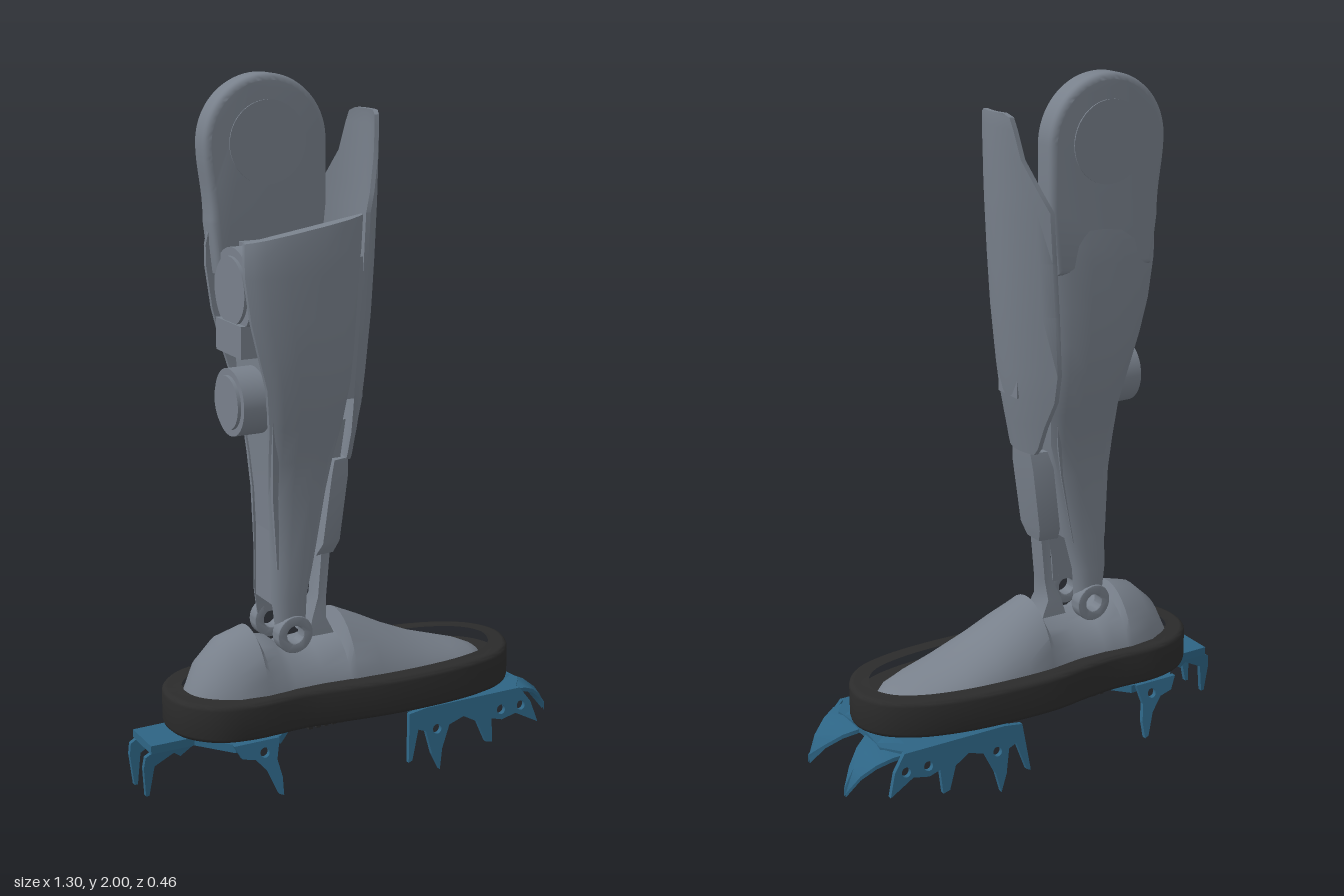
import * as THREE from 'three';
import { toCreasedNormals } from 'three/addons/utils/BufferGeometryUtils.js';

const flat = (name, color) => {
  const m = new THREE.MeshStandardMaterial({ color });
  m.name = name;
  return m;
};

// Skin a list of equal-length rings; point i of a ring lies opposite point n-1-i, so the end caps zip shut.
function loft(rings, crease = 0.6) {
  const n = rings[0].length, pos = rings.flat(2), idx = [];
  for (let r = 0; r < rings.length - 1; r++)
    for (let i = 0; i < n; i++) {
      const a = r * n + i, b = r * n + (i + 1) % n;
      idx.push(a, b, b + n, a, b + n, a + n);
    }
  const last = (rings.length - 1) * n;
  for (let i = 0; i < n / 2 - 1; i++) {
    const j = n - 1 - i;
    idx.push(i, j - 1, i + 1, i, j, j - 1);
    idx.push(last + i, last + i + 1, last + j - 1, last + i, last + j - 1, last + j);
  }
  // Turn the faces outward if the enclosed volume is negative
  const P = k => new THREE.Vector3(...pos.slice(k * 3, k * 3 + 3));
  let vol = 0;
  for (let i = 0; i < idx.length; i += 3) vol += P(idx[i]).dot(P(idx[i + 1]).cross(P(idx[i + 2])));
  if (vol < 0) idx.reverse();
  const g = new THREE.BufferGeometry();
  g.setAttribute('position', new THREE.Float32BufferAttribute(pos, 3));
  g.setIndex(idx);
  return toCreasedNormals(g, crease);
}

const poly = pts => new THREE.Shape(pts.map(p => new THREE.Vector2(...p)));
const extrude = (shape, depth, bevel = 0) => new THREE.ExtrudeGeometry(shape, {
  depth: depth - 2 * bevel, bevelEnabled: bevel > 0, bevelThickness: bevel, bevelSize: bevel,
  bevelOffset: -bevel, bevelSegments: 3, curveSegments: 24,
}).translate(0, 0, bevel);
// Lay an extrusion flat with its underside at height y
const slab = (shape, y, height, bevel) => extrude(shape, height, bevel).rotateX(-Math.PI / 2).translate(0, y, 0);

export function createModel() {
  const root = new THREE.Group();
  const grey = flat('shell grey', 0x78808b);
  const black = flat('rubber black', 0x2b2b2b);
  const blue = flat('crampon blue', 0x2d6484);
  const add = (name, geo, mat = grey) => {
    const m = new THREE.Mesh(geo, mat);
    m.name = name;
    root.add(m);
    return m;
  };
  const sides = [1, -1];

  // Sole: raised rim around a lower deck
  const outline = new THREE.CatmullRomCurve3([
    [-0.55, 0], [-0.53, 0.085], [-0.46, 0.155], [-0.36, 0.183], [-0.22, 0.178], [-0.12, 0.187], [0, 0.205],
    [0.15, 0.203], [0.3, 0.186], [0.43, 0.145], [0.51, 0.085], [0.545, 0], [0.52, -0.095], [0.46, -0.16],
    [0.36, -0.195], [0.22, -0.21], [0.06, -0.207], [-0.08, -0.19], [-0.2, -0.176], [-0.36, -0.18],
    [-0.46, -0.155], [-0.53, -0.085],
  ].map(p => new THREE.Vector3(p[0], p[1], 0)), true).getPoints(88).slice(0, -1);
  const scaled = (sx, sy) => outline.map(p => [p.x * sx, p.y * sy]);
  const rim = poly(scaled(1, 1));
  rim.holes.push(poly(scaled(0.925, 0.81)));
  add('soleRim', toCreasedNormals(slab(rim, 0.19, 0.11, 0.014), 0.6), black);
  add('soleDeck', slab(poly(scaled(0.95, 0.9)), 0.192, 0.065), black);
  for (let i = 0; i < 16; i++)
    add('soleTread', new THREE.BoxGeometry(0.013, 0.012, 0.32).translate(-0.18 + i * 0.025, 0.186, 0), black);

  // Foot: arched sections from heel to toe [x, top, half width]
  const foot = [
    [-0.5, 0.26, 0.03], [-0.485, 0.3, 0.06], [-0.44, 0.385, 0.11], [-0.38, 0.44, 0.14], [-0.3, 0.462, 0.15],
    [-0.285, 0.43, 0.15], [-0.24, 0.42, 0.148], [-0.21, 0.395, 0.147], [-0.12, 0.4, 0.147], [-0.04, 0.42, 0.153],
    [-0.02, 0.47, 0.155], [0.06, 0.432, 0.16], [0.15, 0.385, 0.16], [0.25, 0.34, 0.152], [0.34, 0.31, 0.135],
    [0.41, 0.288, 0.108], [0.45, 0.27, 0.07], [0.465, 0.258, 0.03],
  ];
  add('foot', loft(foot.map(([x, h, w]) => Array.from({ length: 20 }, (_, i) => {
    const a = Math.PI * i / 19;
    return [x, 0.24 + (h - 0.24) * Math.sin(a), w * Math.cos(a)];
  })), 0.7));

  // Calf side panels [y, back x, front x, half width, rise toward the front]
  const rows = [
    [0.47, -0.24, -0.145, 0.09], [0.55, -0.25, -0.14, 0.09], [0.65, -0.25, -0.115, 0.086], [0.85, -0.255, -0.075, 0.083],
    [0.95, -0.26, -0.058, 0.096], [1.05, -0.268, -0.042, 0.122], [1.17, -0.287, -0.032, 0.15], [1.26, -0.312, -0.026, 0.158],
    [1.36, -0.337, -0.02, 0.161], [1.48, -0.354, -0.012, 0.161], [1.54, -0.355, -0.004, 0.159], [1.575, -0.35, 0.005, 0.152, 0.055],
  ];
  const across = [0, 0.06, 0.15, 0.35, 0.65, 0.85, 0.94, 1];
  for (const s of sides)
    add('calfPanel', loft(rows.map(([y, b, f, w, rise = 0]) => {
      const point = (u, z) => [b + (f - b) * u, y + rise * u, s * z];
      const outer = across.map(u => point(u, w - 0.03 * Math.abs(2 * u - 1) ** 4));
      const inner = across.map(u => point(u, w - 0.035 - (y > 1 ? 0.008 : 0)));
      return [...outer, ...inner.reverse()];
    }), 0.75));

  // Inner frame between the panels
  const core = [[0.64, -0.24, -0.13, 0.075], [0.85, -0.25, -0.09, 0.072], [0.95, -0.255, -0.07, 0.085],
    [1.05, -0.262, -0.055, 0.1], [1.17, -0.27, -0.045, 0.125], [1.4, -0.275, -0.03, 0.135], [1.55, -0.275, -0.01, 0.135]];
  add('calfFrame', loft(core.map(([y, b, f, w]) => [[b, y, w], [f, y, w], [f, y, -w], [b, y, -w]])));
  add('heelTendonPlate', new THREE.BoxGeometry(0.02, 0.32, 0.12).translate(-0.235, 0.69, 0));

  // Motor drums in the open back
  for (const [y, x, r, d] of [[1.43, -0.295, 0.118, 0.07], [1.12, -0.3, 0.095, 0.09]]) {
    add('motorDrum', new THREE.CylinderGeometry(r, r, d, 40).rotateZ(Math.PI / 2).translate(x, y, 0));
    add('motorCap', new THREE.CylinderGeometry(r * 0.8, r * 0.8, 0.012, 40).rotateZ(Math.PI / 2).translate(x - d / 2 - 0.004, y, 0));
  }
  add('motorBracket', new THREE.BoxGeometry(0.06, 0.09, 0.16).translate(-0.315, 1.3, 0));

  // Knee paddle on the far side
  const paddle = new THREE.Shape();
  paddle.moveTo(-0.335, 1.46);
  paddle.lineTo(-0.02, 1.46);
  paddle.lineTo(0, 1.64);
  paddle.lineTo(0, 1.815);
  paddle.absarc(-0.185, 1.815, 0.185, 0, Math.PI, false);
  paddle.bezierCurveTo(-0.37, 1.74, -0.35, 1.69, -0.352, 1.6);
  add('kneePaddle', toCreasedNormals(extrude(paddle, 0.083, 0.018).translate(0, 0, -0.155), 0.6));
  for (const z of [-0.0715, -0.1555])
    add('kneeDisc', new THREE.CylinderGeometry(0.115, 0.115, 0.006, 48).rotateX(Math.PI / 2).translate(-0.185, 1.815, z));

  // Shin guard: thin bowed sheet [y, front x, half width]
  const guard = [[0.93, 0.012, 0.065], [0.95, 0.016, 0.08], [1.02, 0.03, 0.108], [1.1, 0.046, 0.142], [1.18, 0.057, 0.155],
    [1.35, 0.075, 0.161], [1.5, 0.085, 0.161], [1.64, 0.092, 0.16], [1.69, 0.094, 0.14], [1.78, 0.096, 0.1],
    [1.86, 0.098, 0.082], [1.89, 0.098, 0.072], [1.9, 0.097, 0.05]];
  add('shinGuard', loft(guard.map(([y, x, w]) => {
    const arc = t => Array.from({ length: 13 }, (_, i) => {
      const z = (i / 6 - 1) * w;
      return [x - t - 3.3 * z * z, y, z];
    });
    return [...arc(0), ...arc(0.014).reverse()];
  }), 0.8));
  add('guardMount', new THREE.BoxGeometry(0.09, 0.4, 0.1).translate(0, 1.3, 0));

  // Front strut, its cover and the ankle hubs
  const strut = [[0.41, -0.085, 0.04, 0.045], [0.46, -0.09, 0.022, 0.04], [0.52, -0.075, 0.013, 0.03],
    [0.8, -0.05, 0.014, 0.03], [1.04, -0.02, 0.016, 0.04]];
  add('frontStrut', loft(strut.map(([y, x, t, w]) => [[x - t, y, w], [x + t, y, w], [x + t, y, -w], [x - t, y, -w]])));
  const cover = [[0.65, -0.07, 0.03, 0.04], [0.69, -0.06, 0.03, 0.066], [0.88, -0.035, 0.03, 0.07], [0.93, -0.025, 0.025, 0.06]];
  add('strutCover', loft(cover.map(([y, x, t, w]) => [[x - t, y, w], [x + t, y, w * 0.8], [x + t, y, -w * 0.8], [x - t, y, -w]])));
  const hub = new THREE.Shape().absarc(0, 0, 0.055, 0, Math.PI * 2);
  hub.holes.push(new THREE.Path().absarc(0, 0, 0.026, 0, Math.PI * 2, true));
  for (const z of [0.055, -0.095])
    add('ankleHub', toCreasedNormals(extrude(hub, 0.04, 0.004), 0.5).translate(-0.193, 0.445, z));

  // Crampon plates under the sole
  const mirrored = half => poly([...half, ...half.map(([x, z]) => [x, -z]).reverse()]);
  add('frontCramponPlate', slab(mirrored([[0.1, 0.13], [0.2, 0.195], [0.49, 0.195], [0.54, 0.13], [0.53, 0.03]]), 0.168, 0.02), blue);
  add('rearCramponPlate', slab(mirrored([[-0.2, 0.08], [-0.28, 0.17], [-0.42, 0.17], [-0.5, 0.068], [-0.63, 0.066]]), 0.162, 0.024), blue);
  add('cramponBar', new THREE.BoxGeometry(0.36, 0.008, 0.05).translate(-0.04, 0.157, 0), blue);

  // Spiked side skirts, splayed outward as they drop
  const frontSkirt = [[0.12, 0.18], [0.105, 0.04], [0.118, 0.045], [0.145, 0.13], [0.17, 0.12], [0.185, 0.05], [0.207, 0],
    [0.22, 0.06], [0.25, 0.125], [0.3, 0.14], [0.345, 0.115], [0.37, 0.05], [0.392, 0.045], [0.395, 0.115], [0.43, 0.105],
    [0.48, 0.115], [0.555, 0.075], [0.535, 0.14], [0.5, 0.188], [0.18, 0.188]];
  const rearSkirt = [[-0.43, 0.188], [-0.41, 0.15], [-0.37, 0.14], [-0.335, 0.1], [-0.31, 0.035], [-0.297, 0.03],
    [-0.295, 0.08], [-0.305, 0.13], [-0.29, 0.188]];
  const rearClaw = [[-0.5, 0.186], [-0.6, 0.178], [-0.645, 0.152], [-0.65, 0.12], [-0.642, 0.03], [-0.632, 0.03],
    [-0.618, 0.12], [-0.56, 0.15], [-0.54, 0.135], [-0.5, 0.162]];
  const upright = (name, pts, holes, z0, splay) => {
    const shape = poly(pts);
    for (const [x, y] of holes) shape.holes.push(new THREE.Path().absarc(x, y, 0.014, 0, Math.PI * 2, true));
    for (const s of sides) {
      const g = extrude(shape, 0.014).translate(0, 0, -0.007);
      const p = g.attributes.position;
      for (let i = 0; i < p.count; i++) p.setZ(i, p.getZ(i) + s * (z0 + (0.19 - p.getY(i)) * splay));
      g.computeVertexNormals();
      add(name, g, blue);
    }
  };
  upright('frontSkirt', frontSkirt, [[0.208, 0.12], [0.43, 0.135], [0.5, 0.135]], 0.193, 0.16);
  upright('rearSkirt', rearSkirt, [[-0.34, 0.155]], 0.175, 0.25);
  upright('rearClaw', rearClaw, [], 0.058, -0.1);

  // Two broad toe claws curving down [x, y, centre z, half width]
  const toe = [[0.47, 0.182, 0.1, 0.09], [0.53, 0.176, 0.102, 0.082], [0.57, 0.158, 0.106, 0.062], [0.61, 0.125, 0.111, 0.036], [0.645, 0.07, 0.116, 0.005]];
  for (const s of sides)
    add('toeClaw', loft(toe.map(([x, y, z, w]) => [
      [x, y, s * (z - w)], [x + 0.003, y + 0.012, s * z], [x, y, s * (z + w)],
      [x, y - 0.012, s * (z + w)], [x - 0.003, y - 0.004, s * z], [x, y - 0.012, s * (z - w)],
    ])), blue);
  return root;
}
